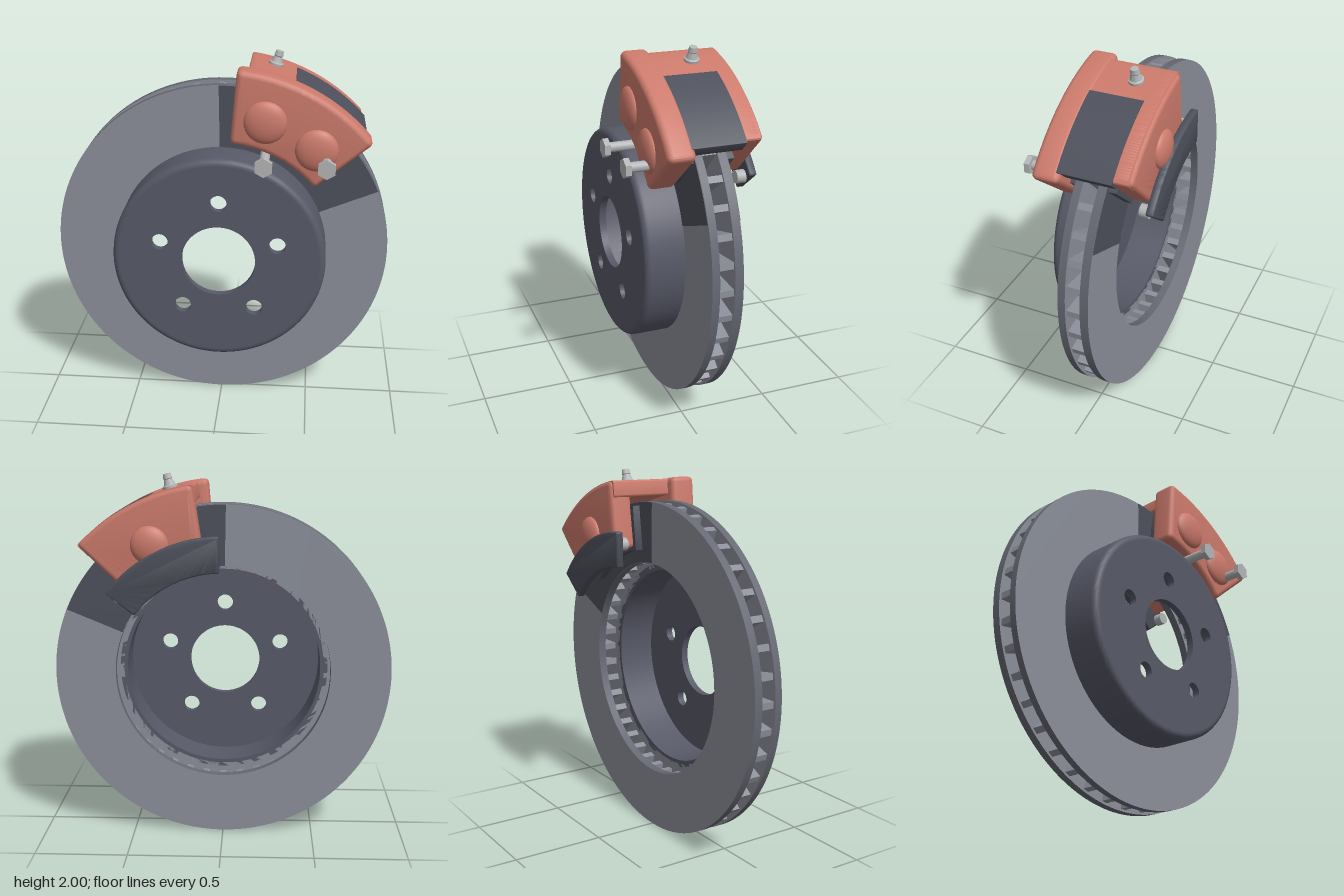
import * as THREE from 'three';
import { toCreasedNormals } from 'three/addons/utils/BufferGeometryUtils.js';

const mat = (name, color) => new THREE.MeshStandardMaterial({ name, color });
const discGrey = mat('disc grey', 0x8b8f99);
const rimGrey = mat('rim grey', 0x666973);
const hatSlate = mat('hat slate', 0x575967);
const padSlate = mat('pad slate', 0x4d505b);
const caliperRed = mat('caliper red', 0xcb7a6b);
const steel = mat('steel', 0xb4b5b6);

const rad = THREE.MathUtils.degToRad;
const polar = (r, a) => [r * Math.cos(a), r * Math.sin(a)];

export function createModel() {
  const model = new THREE.Group();
  const brake = new THREE.Group();
  brake.name = 'brakeAssembly';
  brake.position.y = 0.925; // the wheel axis is the local origin
  model.add(brake);

  const add = (name, geometry, material) => {
    const mesh = new THREE.Mesh(geometry, material);
    mesh.name = name;
    brake.add(mesh);
    return mesh;
  };

  // Flat ring, optionally with more holes, between two z planes
  const ring = (r0, r1, z0, z1, holes = []) => {
    const shape = new THREE.Shape().absarc(0, 0, r1, 0, Math.PI * 2);
    for (const [x, y, r] of [[0, 0, r0], ...holes])
      shape.holes.push(new THREE.Path().absarc(x, y, r, 0, Math.PI * 2, true));
    const g = new THREE.ExtrudeGeometry(shape, { depth: z1 - z0, bevelEnabled: false, curveSegments: 96 });
    return toCreasedNormals(g.translate(0, 0, z0), 0.6);
  };

  // Block in the shape of an annular sector, with corner radius c and bevel b
  const sector = (r0, r1, from, to, z0, z1, c = 0.002, b = 0) => {
    const a0 = rad(from), a1 = rad(to);
    const s = new THREE.Shape();
    s.absarc(0, 0, r1, a0 + c / r1, a1 - c / r1, false);
    s.quadraticCurveTo(...polar(r1, a1), ...polar(r1 - c, a1));
    s.lineTo(...polar(r0 + c, a1));
    s.quadraticCurveTo(...polar(r0, a1), ...polar(r0, a1 - c / r0));
    s.absarc(0, 0, r0, a1 - c / r0, a0 + c / r0, true);
    s.quadraticCurveTo(...polar(r0, a0), ...polar(r0 + c, a0));
    s.lineTo(...polar(r1 - c, a0));
    s.quadraticCurveTo(...polar(r1, a0), ...polar(r1, a0 + c / r1));
    const g = new THREE.ExtrudeGeometry(s, {
      depth: z1 - z0 - 2 * b, curveSegments: 24, bevelEnabled: b > 0,
      bevelSize: b, bevelThickness: b, bevelOffset: -b, bevelSegments: 4,
    });
    return toCreasedNormals(g.translate(0, 0, z0 + b), 0.6);
  };

  // Cylinder along z between two planes
  const rod = (name, r, x, y, z0, z1, sides, material) => {
    const g = new THREE.CylinderGeometry(r, r, z1 - z0, sides).rotateX(Math.PI / 2);
    g.translate(x, y, (z0 + z1) / 2);
    return add(name, toCreasedNormals(g, 0.6), material);
  };

  // Ventilated disc: two plates joined by radial vanes
  add('frontDiscPlate', ring(0.56, 0.92, -0.02, 0.02), [discGrey, rimGrey]);
  add('backDiscPlate', ring(0.59, 0.92, -0.145, -0.1), [discGrey, rimGrey]);
  const vanes = 40;
  for (let i = 0; i < vanes; i++) {
    const g = new THREE.BoxGeometry(0.3, 0.035, 0.084).translate(0.757, 0, -0.06);
    add('vane', g.rotateZ((i / vanes) * Math.PI * 2), discGrey);
  }

  // Hat: drilled face plus a wall with a rounded shoulder
  const lugs = [];
  for (let i = 0; i < 5; i++) lugs.push([...polar(0.335, rad(90 + 72 * i)), 0.045]);
  add('hatFace', ring(0.2, 0.545, 0.195, 0.235, lugs), hatSlate);
  const profile = [[0.54, -0.02], [0.58, -0.02], [0.58, 0.2]];
  for (let i = 1; i <= 5; i++) {
    const [x, y] = polar(0.035, (i / 5) * Math.PI / 2);
    profile.push([0.545 + x, 0.2 + y]);
  }
  profile.push([0.54, 0.235], [0.54, -0.02]);
  const wall = new THREE.LatheGeometry(profile.map(([x, y]) => new THREE.Vector2(x, y)), 96);
  add('hatWall', toCreasedNormals(wall.rotateX(Math.PI / 2), 0.6), hatSlate);

  // Dark contact patches on both disc faces
  add('frontContactPatch', sector(0.58, 0.918, 22.5, 91, 0.019, 0.023), padSlate);
  add('backContactPatch', sector(0.592, 0.918, 22.5, 91, -0.148, -0.144), padSlate);

  // Brake pads
  add('frontPad', sector(0.66, 0.9, 42, 83, 0.022, 0.07), padSlate);
  add('backPad', sector(0.66, 0.9, 42, 83, -0.19, -0.147), padSlate);

  // Caliper: front body, rear body and the bridge over the disc
  add('caliperFrontBody', sector(0.655, 1.045, 40, 85, 0.055, 0.2, 0.03, 0.03), caliperRed);
  add('caliperRearBody', sector(0.675, 1.04, 43.5, 81.5, -0.305, -0.18, 0.03, 0.025), caliperRed);
  add('caliperBridge', sector(0.95, 1.04, 43.5, 82, -0.29, 0.15, 0.015), caliperRed);
  add('bridgeInsert', sector(0.965, 1.043, 42.8, 68, -0.21, 0.08), padSlate);

  // Shallow piston domes
  const dome = (name, r, angle, z, direction) => {
    const g = new THREE.SphereGeometry(r, 32, 12, 0, Math.PI * 2, 0, Math.PI / 2);
    const mesh = add(name, g.rotateX(direction * Math.PI / 2), caliperRed);
    mesh.position.set(...polar(0.812, rad(angle)), z);
    mesh.scale.z = 0.042 / r;
  };
  dome('frontPistonDome', 0.113, 72.8, 0.197, 1);
  dome('frontPistonDome', 0.113, 51.3, 0.197, 1);
  dome('rearPistonDome', 0.1, 62.5, -0.302, -1);

  // Rear mounting bracket with its two bolts
  add('mountingBracket', sector(0.58, 0.77, 38, 89, -0.35, -0.308, 0.01, 0.01), padSlate);
  for (const angle of [40, 84])
    rod('bracketBolt', 0.035, ...polar(0.7, rad(angle)), -0.31, -0.26, 20, steel);

  // Hex-headed slide bolts
  for (const x of [0.24, 0.56]) {
    rod('slideBoltShaft', 0.026, x, 0.58, 0.06, 0.32, 20, steel);
    rod('slideBoltHead', 0.051, x, 0.58, 0.315, 0.345, 6, steel);
  }

  // Bleeder nipple standing radially on the bridge
  const nipple = new THREE.LatheGeometry([
    [0, 0], [0.04, 0], [0.04, 0.02], [0.032, 0.025], [0.021, 0.055], [0.024, 0.06], [0.02, 0.085], [0, 0.087],
  ].map(([x, y]) => new THREE.Vector2(x, y)), 20);
  const bleeder = add('bleederNipple', toCreasedNormals(nipple, 0.5), steel);
  bleeder.position.set(...polar(1.032, rad(74.5)), -0.12);
  bleeder.rotation.z = rad(74.5 - 90);

  return model;
}
